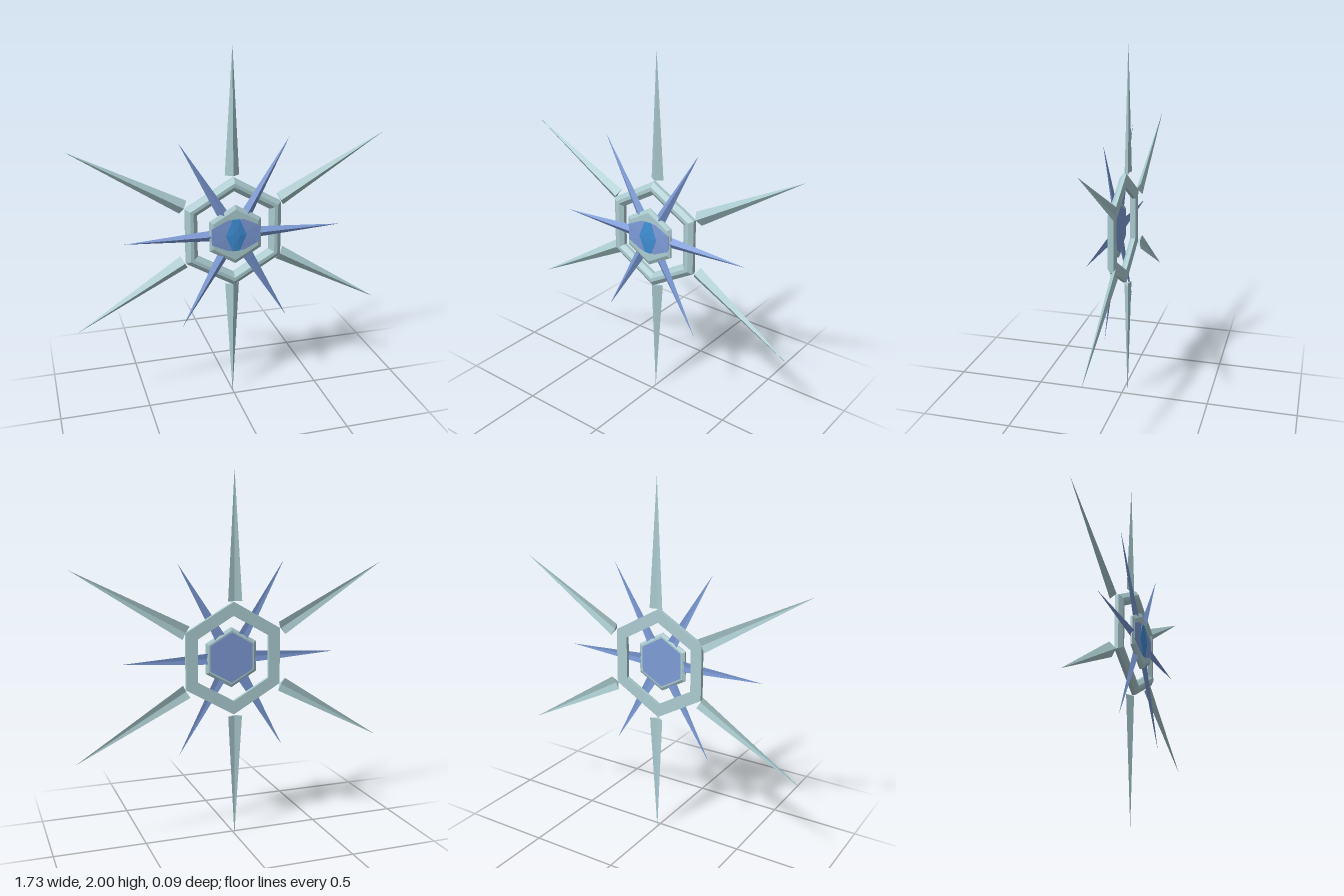
import * as THREE from 'three';

const paleIce = new THREE.MeshStandardMaterial({ color: 0xaccdd2 });
const periwinkle = new THREE.MeshStandardMaterial({ color: 0x7d9cd8 });
const brightBlue = new THREE.MeshStandardMaterial({ color: 0x3f8fd6 });

// Flat-faced solid through matching closed outlines, capped at both ends.
function loft(layers) {
  const pos = [];
  const tri = (a, b, c) => pos.push(...a, ...b, ...c);
  const n = layers[0].length;
  for (let l = 0; l < layers.length - 1; l++) {
    const A = layers[l], B = layers[l + 1];
    for (let i = 0; i < n; i++) {
      const j = (i + 1) % n;
      tri(A[i], A[j], B[j]);
      tri(A[i], B[j], B[i]);
    }
  }
  const first = layers[0], last = layers[layers.length - 1];
  for (let i = 1; i < n - 1; i++) {
    tri(first[0], first[i + 1], first[i]);
    tri(last[0], last[i], last[i + 1]);
  }
  const g = new THREE.BufferGeometry();
  g.setAttribute('position', new THREE.Float32BufferAttribute(pos, 3));
  g.computeVertexNormals();
  return g;
}

// Ridged spike along +x: chevron section tapering to a point.
function spikeGeometry({ start, end, width, back, notch, front, tipZ }) {
  const base = [[start, 0, notch], [start, width, back], [start, 0, front], [start, -width, back]];
  const tip = base.map(([, y, z]) => [end, y * 0.01, tipZ + (z - tipZ) * 0.01]);
  return loft([base, tip]);
}

// Hexagonal turned part facing +z, from a (radius, z) profile.
function hexGeometry(profile) {
  const g = new THREE.LatheGeometry(profile.map(([r, z]) => new THREE.Vector2(r, z)), 6)
    .rotateX(Math.PI / 2).toNonIndexed();
  g.computeVertexNormals();
  return g;
}

// Faceted jewel: an outline scaled at successive depths.
function jewelGeometry(outline, steps) {
  return loft(steps.map(([s, z]) => outline.map(([x, y]) => [x * s, y * s, z])));
}

export function createModel() {
  const model = new THREE.Group();
  model.name = 'snowflakeStar';
  const add = (name, geometry, material, angle = 0) => {
    const mesh = new THREE.Mesh(geometry, material);
    mesh.name = name;
    mesh.position.y = 1;
    mesh.rotation.z = angle;
    model.add(mesh);
  };

  // Six long outer and six short inner spikes
  const longSpike = spikeGeometry({
    start: 0.315, end: 1, width: 0.04, back: -0.045, notch: -0.036, front: -0.015, tipZ: -0.034,
  });
  const shortSpike = spikeGeometry({
    start: 0.08, end: 0.6, width: 0.034, back: 0.012, notch: 0.016, front: 0.036, tipZ: 0.015,
  });
  for (let i = 0; i < 6; i++) {
    add('longSpike', longSpike, paleIce, Math.PI / 6 + i * Math.PI / 3);
    add('shortSpike', shortSpike, periwinkle, i * Math.PI / 3);
  }

  // Bevelled hexagonal ring
  add('hexRing', hexGeometry([
    [0.31, -0.026], [0.31, -0.006], [0.283, 0.012], [0.262, 0.012],
    [0.235, -0.006], [0.235, -0.026], [0.31, -0.026],
  ]), paleIce);

  // Central plate with its backing
  add('centerPlate', hexGeometry([
    [0, 0.01], [0.15, 0.01], [0.167, 0.018], [0.167, 0.026], [0.145, 0.036], [0, 0.036],
  ]), paleIce);
  add('plateBacking', hexGeometry([[0, 0.008], [0.14, 0.008], [0.14, 0.011]]), periwinkle);

  // Wide inlay under a tall jewel
  const inlay = [[0.135, -0.045], [0.135, 0.045], [0.045, 0.088],
    [-0.045, 0.088], [-0.135, 0.045], [-0.135, -0.045], [-0.045, -0.088], [0.045, -0.088]];
  add('inlay', jewelGeometry(inlay, [[1, 0.034], [1, 0.037], [0.4, 0.04]]), periwinkle);
  const jewel = [[0.058, 0], [0.02, 0.09], [-0.02, 0.09], [-0.058, 0], [-0.02, -0.09], [0.02, -0.09]];
  add('jewel', jewelGeometry(jewel, [[1, 0.035], [1, 0.041], [0.35, 0.046]]), brightBlue);

  return model;
}
